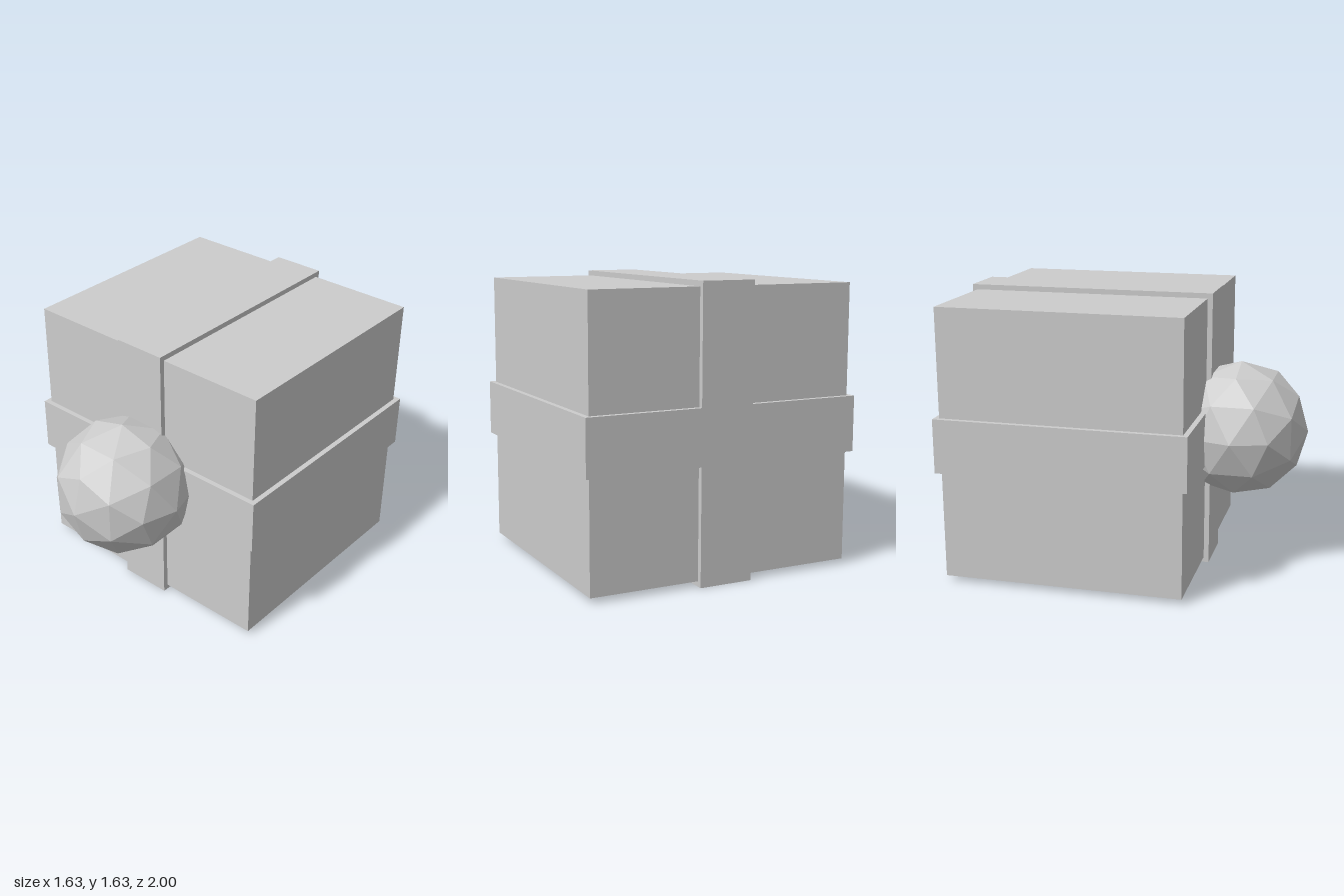
import * as THREE from 'three';

export function createModel() {
  const model = new THREE.Group();
  const lightGrey = new THREE.MeshStandardMaterial({ color: 0xcccccc, flatShading: true });
  lightGrey.name = 'lightGrey';

  const add = (name, geometry, x, y, z) => {
    const mesh = new THREE.Mesh(geometry, lightGrey);
    mesh.name = name;
    mesh.position.set(x, y, z);
    model.add(mesh);
  };

  const midY = 0.815; // height of the box centre
  const midZ = -0.275; // depth of the box centre

  // Main block with two bands that wrap around it, slightly proud
  add('box', new THREE.BoxGeometry(1.57, 1.57, 1.39), 0, midY, midZ);
  add('verticalBand', new THREE.BoxGeometry(0.31, 1.63, 1.45), 0, midY, midZ);
  add('horizontalBand', new THREE.BoxGeometry(1.63, 0.315, 1.45), 0, midY, midZ);

  // Faceted ball set into the front where the bands cross
  add('frontBall', new THREE.IcosahedronGeometry(0.4, 1), 0, midY, 0.6);

  return model;
}
